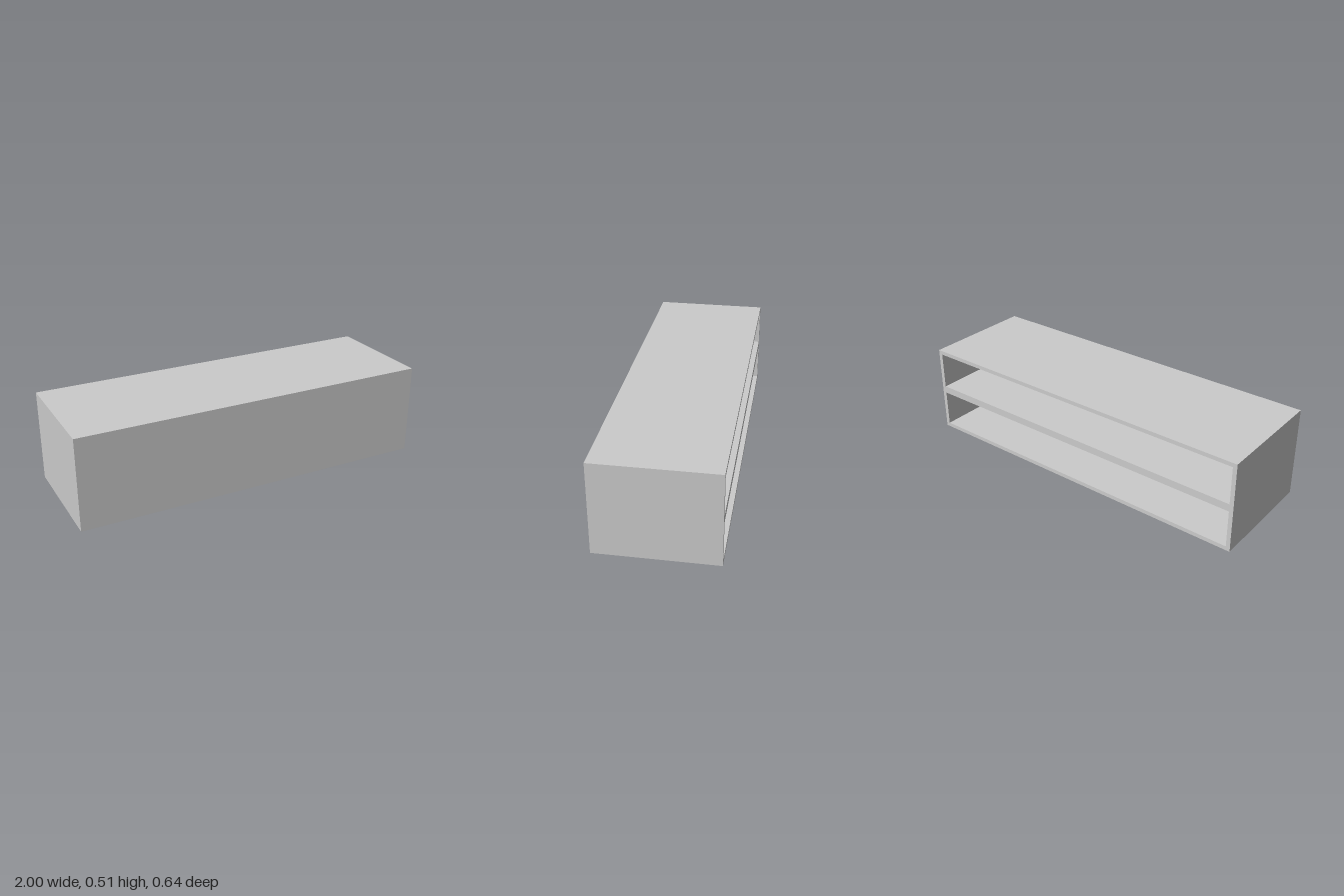
import * as THREE from 'three';

const W = 2, H = 0.508, D = 0.64;
const WALL = 0.023, SHELF = 0.042;

// Axis-aligned rectangle outline, clockwise when used as a hole
function rectangle(Type, x0, y0, x1, y1, clockwise) {
  const p = [[x0, y0], [x1, y0], [x1, y1], [x0, y1]].map(([x, y]) => new THREE.Vector2(x, y));
  return new Type(clockwise ? p.reverse() : p);
}

export function createModel() {
  const group = new THREE.Group();
  group.name = 'openBackCabinet';
  const material = new THREE.MeshStandardMaterial({ color: 0xcccccc });

  // Carcass: sides, top, bottom and middle shelf around two equal bays
  const bay = (H - 2 * WALL - SHELF) / 2;
  const outline = rectangle(THREE.Shape, -W / 2, 0, W / 2, H, false);
  for (const y of [WALL, WALL + bay + SHELF]) {
    outline.holes.push(rectangle(THREE.Path, -W / 2 + WALL, y, W / 2 - WALL, y + bay, true));
  }
  const carcass = new THREE.Mesh(
    new THREE.ExtrudeGeometry(outline, { depth: D - WALL, bevelEnabled: false }), material);
  carcass.name = 'carcass';
  carcass.position.z = -D / 2;
  group.add(carcass);

  // Plain panel closing the front
  const front = new THREE.Mesh(new THREE.BoxGeometry(W, H, WALL), material);
  front.name = 'frontPanel';
  front.position.set(0, H / 2, D / 2 - WALL / 2);
  group.add(front);

  return group;
}
